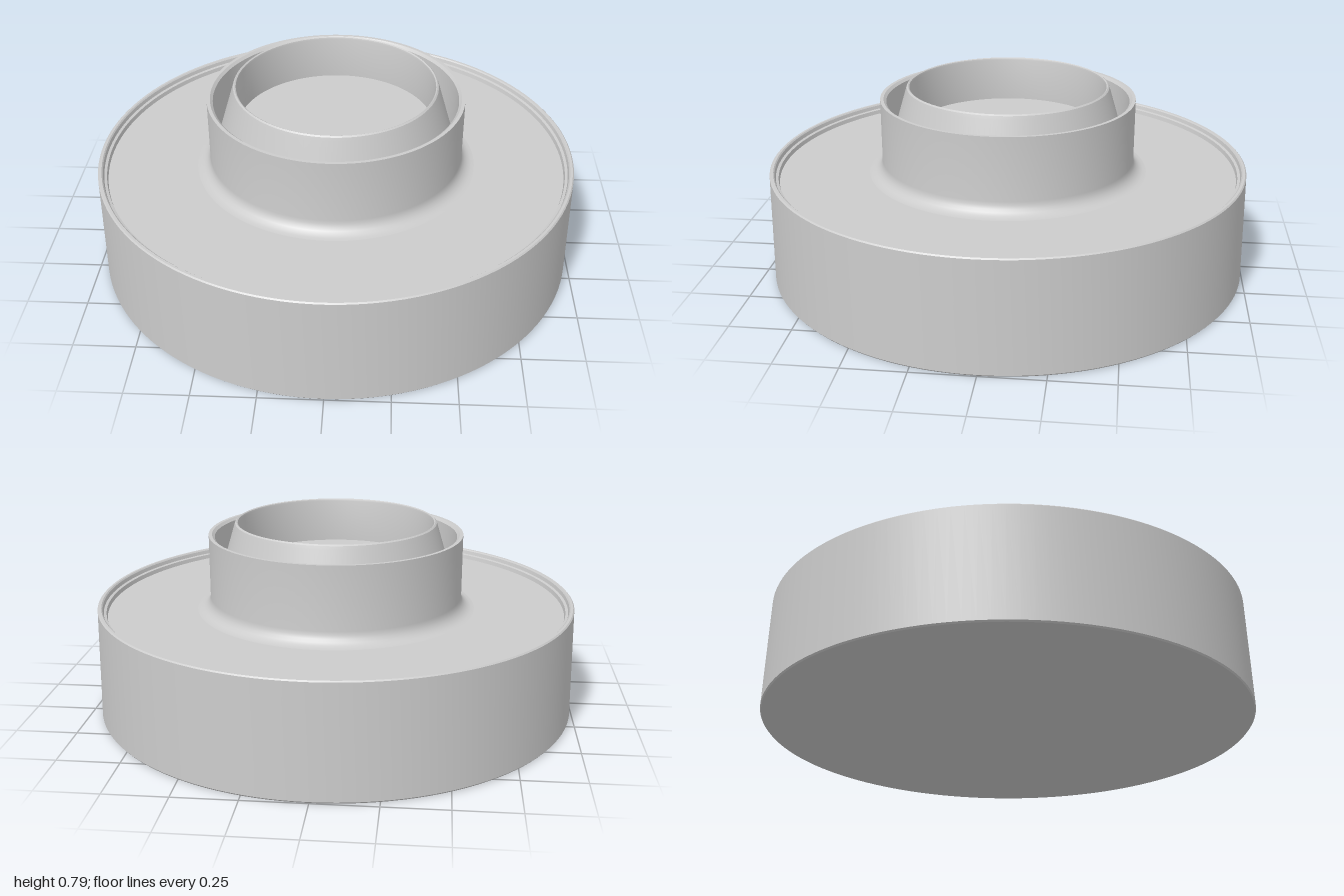
import * as THREE from 'three';
import { toCreasedNormals } from 'three/addons/utils/BufferGeometryUtils.js';

const material = new THREE.MeshStandardMaterial({ color: 0xcccccc, side: THREE.DoubleSide });

// Turn a profile of [radius, height] pairs around the y axis
function turned(name, profile) {
  const points = profile.map(([r, y]) => new THREE.Vector2(r, y));
  const geometry = toCreasedNormals(new THREE.LatheGeometry(points, 128), 0.45);
  const mesh = new THREE.Mesh(geometry, material);
  mesh.name = name;
  return mesh;
}

export function createModel() {
  const group = new THREE.Group();
  group.name = 'flangedHub';

  const floorY = 0.42, neckR = 0.528, fillet = 0.055;

  // Wide, slightly tapered drum with a thin raised rim and a sunken deck
  group.add(turned('base', [
    [0, 0], [0.995, 0], [1, 0.006], [0.992, 0.455], [0.987, 0.46],
    [0.977, 0.46], [0.972, 0.455], [0.968, 0.44], [0.957, 0.437], [0.953, floorY],
    [neckR + fillet, floorY],
  ]));

  // Neck rising from the deck through a rounded fillet, with a bevelled lip
  const foot = [];
  for (let i = 0; i <= 6; i++) {
    const a = (i / 6) * Math.PI / 2;
    foot.push([neckR + fillet * (1 - Math.sin(a)), floorY + fillet * (1 - Math.cos(a))]);
  }
  group.add(turned('neck', [
    ...foot, [neckR, 0.735], [0.514, 0.735], [0.503, 0.725], [0.496, 0.52],
  ]));

  // Conical collar inside the neck, with a straight bore and a flat bore floor
  group.add(turned('collar', [
    [0.496, 0.52], [0.422, 0.768], [0.418, 0.78], [0.412, 0.785],
    [0.407, 0.782], [0.405, 0.775], [0.405, 0.595], [0, 0.595],
  ]));

  return group;
}
